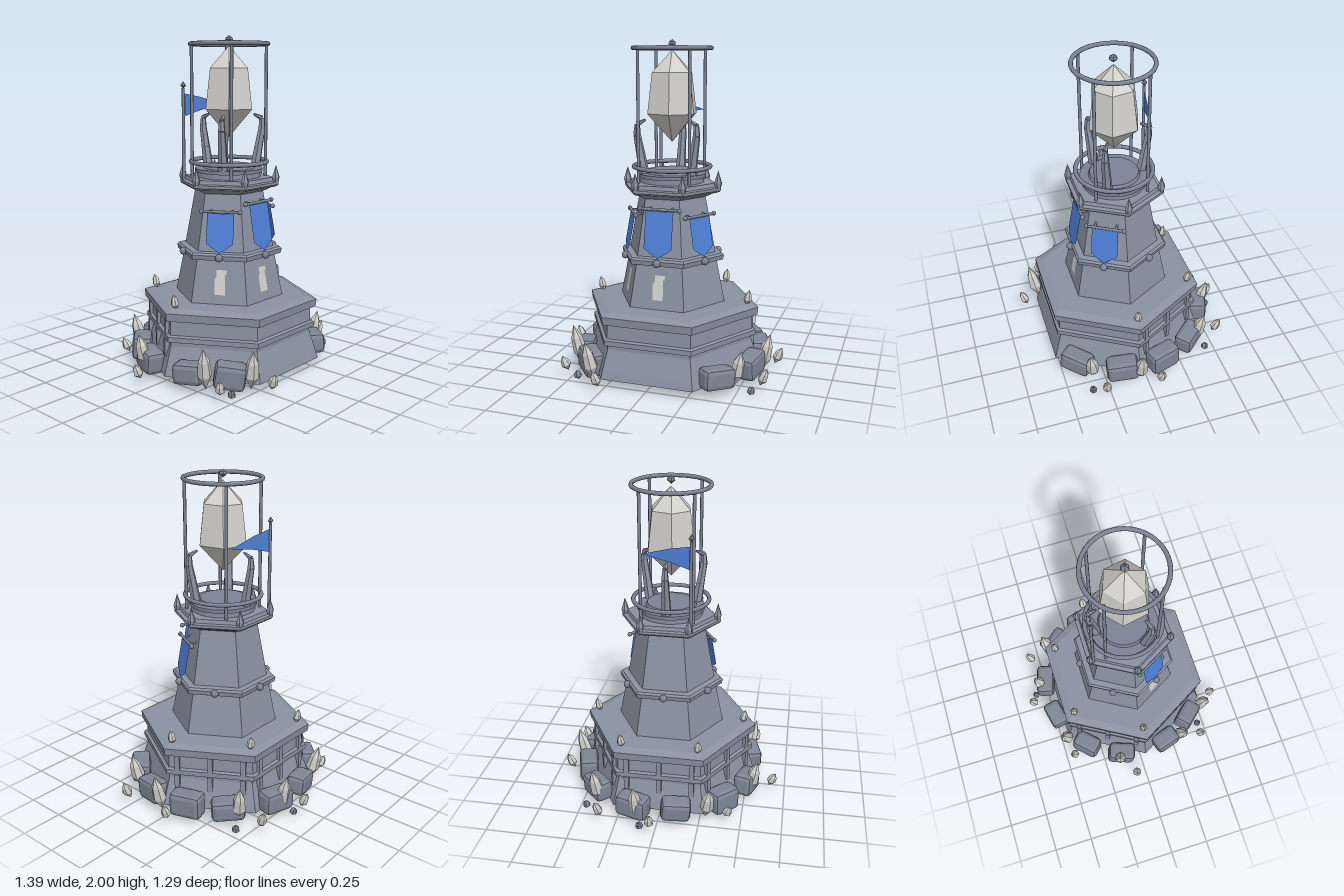
import * as THREE from 'three';
import { RoundedBoxGeometry } from 'three/addons/geometries/RoundedBoxGeometry.js';

const mat = (name, color, o = {}) => {
  const m = new THREE.MeshStandardMaterial({ color, ...o });
  m.name = name;
  return m;
};

export function createModel() {
  const stone = mat('stone', 0x8a92a2, { flatShading: true, side: THREE.DoubleSide });
  const rock = mat('rock', 0x7e8695, { flatShading: true });
  const iron = mat('iron', 0x7c8496);
  const crystalMat = mat('crystal', 0xd2d1cc, { flatShading: true, side: THREE.DoubleSide });
  const blue = mat('blue cloth', 0x4f80d8, { side: THREE.DoubleSide });

  const root = new THREE.Group();
  root.name = 'crystalTower';
  const tower = new THREE.Group();
  tower.name = 'tower';
  tower.position.set(0.005, 0, 0.037);
  root.add(tower);

  const add = (parent, name, geo, material, x = 0, y = 0, z = 0) => {
    const m = new THREE.Mesh(geo, material);
    m.name = name;
    m.position.set(x, y, z);
    parent.add(m);
    return m;
  };
  const lathe = (pts, segs, start = 0) =>
    new THREE.LatheGeometry(pts.map(p => new THREE.Vector2(...p)), segs, start);
  const hex = (name, pts) => add(tower, name, lathe(pts, 6, Math.PI / 6), stone);
  // tapered round bar between two points
  const bar = (parent, name, a, b, r1, r2, material = iron, segs = 8) => {
    const A = new THREE.Vector3(...a), B = new THREE.Vector3(...b), d = B.clone().sub(A);
    const m = add(parent, name, new THREE.CylinderGeometry(r2, r1, d.length(), segs), material);
    m.position.copy(A).addScaledVector(d, 0.5);
    m.quaternion.setFromUnitVectors(new THREE.Vector3(0, 1, 0), d.normalize());
    return m;
  };
  const polar = (phi, r, y) => [Math.sin(phi) * r, y, Math.cos(phi) * r];
  // group turned so that its +z looks along one face of the tower
  const face = (name, phi) => {
    const g = new THREE.Group();
    g.name = name;
    g.rotation.y = phi;
    tower.add(g);
    return g;
  };
  const outline = pts => new THREE.ShapeGeometry(new THREE.Shape(pts.map(p => new THREE.Vector2(...p))));
  const DEG = Math.PI / 180;

  // Hollow stepped base
  hex('base', [[0.56, 0.05], [0.545, 0.1], [0.505, 0.22], [0.505, 0.245], [0.53, 0.25], [0.53, 0.28],
    [0.51, 0.288], [0.505, 0.37], [0.54, 0.378], [0.545, 0.425], [0.49, 0.442], [0, 0.442]]);
  // Tapering shaft with belt
  hex('shaft', [[0.335, 0.44], [0.282, 0.7], [0.205, 1.11]]);
  hex('belt', [[0.278, 0.695], [0.322, 0.702], [0.328, 0.73], [0.315, 0.742], [0.272, 0.745]]);
  hex('cornice', [[0.21, 1.08], [0.235, 1.09], [0.25, 1.1], [0.295, 1.112], [0.305, 1.122], [0.305, 1.138],
    [0.278, 1.142], [0.272, 1.165], [0, 1.165]]);

  // Belt studs and corner spikes
  for (let i = 0; i < 6; i++) {
    const a = i * 60 * DEG, c = a + 30 * DEG;
    add(tower, 'beltStud', new THREE.SphereGeometry(0.023, 12, 8), iron, ...polar(a, 0.29, 0.72));
    const spike = lathe([[0.016, 1.13], [0.024, 1.165], [0, 1.24]], 6);
    add(tower, 'cornerSpike', spike, stone, ...polar(c, 0.287, 0));
  }

  // Upright ribs on the three back faces of the base
  for (const deg of [120, 180, 240]) {
    const g = face('baseRibs', deg * DEG);
    for (const x of [-0.2, 0, 0.2]) {
      add(g, 'upperRib', new THREE.BoxGeometry(0.03, 0.1, 0.03), stone, x, 0.33, 0.445);
      add(g, 'lowerRib', new THREE.BoxGeometry(0.03, 0.1, 0.04), stone, x, 0.2, 0.445);
    }
  }

  // Hanging banners on rods
  for (const [deg, top, half] of [[0, 1.02, 0.085], [60, 0.975, 0.08], [-60, 0.975, 0.08]]) {
    const g = face('banner', deg * DEG);
    const h = top - 0.745;
    const z = 0.283 - h * 0.18;
    const cloth = add(g, 'bannerCloth', outline([[-half, 0], [-half, 0.055 - h], [-half * 0.6, 0.03 - h], [0, -h],
      [half * 0.6, 0.03 - h], [half, 0.055 - h], [half, 0]]), blue, 0, top, z);
    cloth.rotation.x = -0.18;
    const w = half + 0.035;
    bar(g, 'bannerRod', [-w, top + 0.01, z], [w, top + 0.01, z], 0.009, 0.009);
    for (const s of [-1, 1]) {
      add(g, 'rodKnob', new THREE.SphereGeometry(0.014, 10, 8), iron, s * w, top + 0.01, z);
      bar(g, 'rodBracket', [s * half * 0.8, top + 0.01, z], [s * half * 0.8, top + 0.01, 0.18], 0.007, 0.007);
    }
  }

  // Pale window slits
  for (const deg of [0, -60]) {
    const g = face('window', deg * DEG);
    const slit = add(g, 'windowSlit', outline([[-0.03, -0.075], [0.035, -0.075], [0.03, 0.045], [0.04, 0.048],
      [0.04, 0.072], [-0.022, 0.072], [-0.02, 0.035], [-0.032, 0.02]]), crystalMat, 0, 0.57, 0.268);
    slit.rotation.x = -0.175;
  }

  // Round platform and lantern cage
  const drum = add(tower, 'platform', new THREE.CylinderGeometry(0.185, 0.195, 0.04, 32), iron, 0, 1.18, 0);
  drum.name = 'platformNeck';
  add(tower, 'platformDisc', new THREE.CylinderGeometry(0.205, 0.205, 0.022, 32), iron, 0, 1.206, 0);
  add(tower, 'platformStep', new THREE.CylinderGeometry(0.145, 0.155, 0.02, 32), iron, 0, 1.225, 0);
  for (const y of [1.255, 1.95]) {
    const ring = add(tower, 'cageRing', new THREE.TorusGeometry(0.23, 0.013, 8, 48), iron, 0, y, 0);
    ring.rotation.x = Math.PI / 2;
  }
  for (let i = 0; i < 4; i++) {
    const a = (45 + i * 90) * DEG;
    bar(tower, 'cagePost', polar(a, 0.222, 1.165), polar(a, 0.222, 1.95), 0.01, 0.01);
  }

  // Curved claws around the great crystal
  for (const deg of [60, 180, 300]) {
    const a = deg * DEG;
    const path = [[0.17, 1.21, 0.032], [0.19, 1.33, 0.027], [0.212, 1.45, 0.022], [0.21, 1.51, 0.016], [0.16, 1.535, 0.007]];
    for (let i = 0; i < 4; i++) {
      const [r1, y1, t1] = path[i], [r2, y2, t2] = path[i + 1];
      bar(tower, 'claw', polar(a, r1, y1), polar(a, r2, y2), t1, t2, stone, 6);
    }
  }

  // Great crystal and floating finial
  add(tower, 'greatCrystal', lathe([[0, 1.4], [0.158, 1.57], [0.128, 1.81], [0, 1.94]], 6, 0.19), crystalMat);
  add(tower, 'finial', lathe([[0, -0.025], [0.026, -0.002], [0.02, 0.012], [0, 0.025]], 6, 0.3), rock, 0, 1.975, 0);

  // Pennant on a back corner
  const flag = new THREE.Group();
  flag.name = 'flag';
  flag.position.set(-0.148, 0, -0.195);
  root.add(flag);
  bar(flag, 'flagPole', [0, 1.13, 0], [0, 1.69, 0], 0.011, 0.009);
  add(flag, 'poleTip', lathe([[0, -0.022], [0.018, -0.004], [0, 0.022]], 6), rock, 0, 1.71, 0);
  const pennant = add(flag, 'pennant', outline([[0, -0.14], [0.13, -0.105], [0.3, -0.075], [0.13, -0.025], [0, 0]]), blue, 0, 1.66, 0);
  pennant.rotation.y = -0.17;

  // Boulders round the foot
  const boulders = [[-0.11, -0.49], [0.15, -0.495], [-0.38, -0.34], [0.41, -0.34], [-0.51, -0.13],
    [0.525, -0.12], [-0.51, 0.195], [0.535, 0.15], [-0.39, 0.395], [0.395, 0.405]];
  boulders.forEach(([x, z], i) => {
    const geo = new RoundedBoxGeometry(0.18 + 0.02 * (i % 2), 0.125 + 0.012 * (i % 3), 0.12, 1, 0.028);
    const b = add(root, 'boulder', geo, rock, x, 0.105, z);
    b.rotation.set(0.06 * ((i % 3) - 1), Math.atan2(x, z - 0.037), 0.07 * ((i % 4) - 1.5));
  });

  // Crystal shards leaning outward: x, z
  const shard = (name, x, y, z, r, h, lean, material = crystalMat) => {
    const geo = lathe([[0, -h * 0.5], [r, -h * 0.15], [r * 0.8, h * 0.2], [0, h * 0.5]], 6);
    const a = Math.atan2(x, z - 0.037);
    const m = add(root, name, geo, material, x, y, z);
    m.rotation.set(lean, a, 0, 'YXZ');
  };
  const large = [[-0.3, -0.465], [0.4, -0.415], [0.13, -0.535], [-0.55, -0.15], [0.6, 0.045], [-0.51, 0.31],
    [0.5, 0.335], [-0.345, 0.52]];
  large.forEach(([x, z], i) => shard('largeShard', x, 0.145 + 0.01 * (i % 2), z, 0.042, 0.23 + 0.02 * (i % 3), 0.24));
  const small = [[-0.42, -0.445], [0.03, -0.62], [0.36, -0.555], [-0.67, -0.065], [0.66, -0.07], [0.64, 0.28],
    [-0.535, 0.45], [-0.27, 0.61]];
  small.forEach(([x, z], i) => shard('smallShard', x, 0.09, z, 0.029, 0.1 + 0.012 * (i % 3), 0.4));
  for (const [x, z] of [[-0.225, -0.375], [0.245, -0.375], [-0.465, 0.035], [0.485, 0.035]])
    shard('ledgeShard', x, 0.475, z, 0.024, 0.1, 0.2);
  for (const [x, z] of [[0.095, -0.59], [0.46, -0.44], [0.585, 0.355], [-0.45, 0.46]])
    shard('pebble', x, 0.03, z, 0.024, 0.058, 0.3, rock);

  return root;
}
